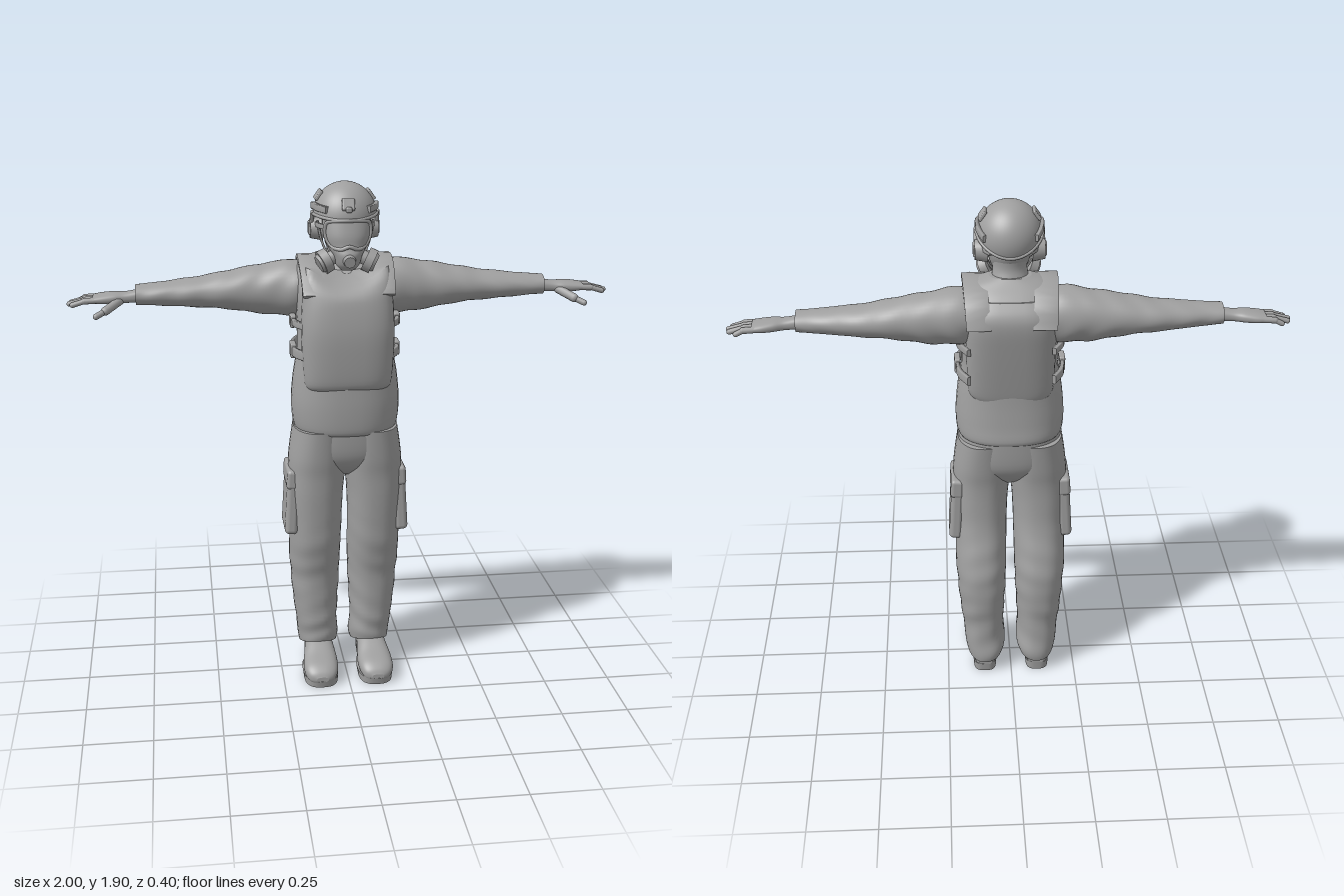
import * as THREE from 'three';
import { RoundedBoxGeometry } from 'three/addons/geometries/RoundedBoxGeometry.js';

const V = (x, y, z) => new THREE.Vector3(x, y, z);

// Closed smooth skin through rings of points, with flat end caps
function skin(rings) {
  const pos = [], idx = [], n = rings[0].length, m = rings.length;
  rings.forEach(r => r.forEach(p => pos.push(p.x, p.y, p.z)));
  for (let i = 0; i < m - 1; i++) for (let j = 0; j < n; j++) {
    const a = i * n + j, b = i * n + (j + 1) % n;
    idx.push(a, b, b + n, a, b + n, a + n);
  }
  [rings[0], rings[m - 1]].forEach((r, end) => {
    const base = pos.length / 3, c = V(0, 0, 0);
    r.forEach(p => { pos.push(p.x, p.y, p.z); c.addScaledVector(p, 1 / n); });
    pos.push(c.x, c.y, c.z);
    for (let j = 0; j < n; j++) {
      const a = base + j, b = base + (j + 1) % n;
      if (end) idx.push(a, b, base + n); else idx.push(b, a, base + n);
    }
  });
  const g = new THREE.BufferGeometry();
  g.setAttribute('position', new THREE.Float32BufferAttribute(pos, 3));
  g.setIndex(idx);
  g.computeVertexNormals();
  return g;
}

const spline = (a, b, c, d, t) =>
  b + 0.5 * t * (c - a + t * (2 * a - 5 * b + 4 * c - d + t * (3 * (b - c) + d - a)));

// Loft of rounded sections [t, aMin, aMax, bMin, bMax] along an axis.
// The (a, b) pair is (z, x) for axis y, (y, z) for axis x, (x, y) for axis z.
function loft(axis, secs, power = 2, rule = null, steps = 5, n = 40) {
  const rings = [], last = secs.length - 1;
  for (let k = 0; k <= last * steps; k++) {
    const i = Math.min(Math.floor(k / steps), last - 1), f = k / steps - i;
    const at = q => secs[Math.max(0, Math.min(last, q))];
    const [t, a0, a1, b0, b1] = secs[0].map((_, q) =>
      spline(at(i - 1)[q], at(i)[q], at(i + 1)[q], at(i + 2)[q], f));
    const ring = [];
    for (let j = 0; j < n; j++) {
      const u = j / n * Math.PI * 2, c = Math.cos(u), s = Math.sin(u);
      const w = 1 + (rule && rule.fold ? rule.fold(t, u) : 0);
      const a = (a0 + a1) / 2 + (a1 - a0) / 2 * w * Math.sign(c) * Math.abs(c) ** (2 / power);
      const b = (b0 + b1) / 2 + (b1 - b0) / 2 * w * Math.sign(s) * Math.abs(s) ** (2 / power);
      const p = axis === 'y' ? V(b, t, a) : axis === 'x' ? V(t, a, b) : V(a, b, t);
      if (rule && rule.move) rule.move(p);
      ring.push(p);
    }
    rings.push(ring);
  }
  return skin(rings);
}

// Flat band along a curve; its width lies along a fixed direction
function strap(pts, wide, width, thick) {
  const curve = new THREE.CatmullRomCurve3(pts), rings = [];
  for (let i = 0; i <= 16; i++) {
    const p = curve.getPoint(i / 16);
    const nrm = curve.getTangent(i / 16).cross(wide).normalize();
    rings.push([[1, 0.6], [0.8, 1], [-0.8, 1], [-1, 0.6], [-1, -1], [1, -1]].map(([a, b]) =>
      p.clone().addScaledVector(wide, a * width / 2).addScaledVector(nrm, b * thick / 2)));
  }
  return skin(rings);
}

function mirrored(geo) {
  const g = geo.index ? geo.toNonIndexed() : geo.clone();
  g.scale(-1, 1, 1);
  g.setIndex(Array.from({ length: g.attributes.position.count }, (_, i) =>
    i % 3 === 0 ? i : i % 3 === 1 ? i + 1 : i - 1));
  return g;
}

// Orient a y-aligned geometry along a direction at a place
const aim = (geo, at, dir) => geo
  .applyQuaternion(new THREE.Quaternion().setFromUnitVectors(V(0, 1, 0), dir.normalize()))
  .translate(at.x, at.y, at.z);
const rod = (p, q, r) => aim(new THREE.CapsuleGeometry(r, p.distanceTo(q), 6, 12),
  p.clone().add(q).multiplyScalar(0.5), q.clone().sub(p));
const box = (w, h, d, x, y, z, r = 0.006) =>
  new RoundedBoxGeometry(w, h, d, 3, r).translate(x, y, z);

export function createModel() {
  const model = new THREE.Group();
  const grey = new THREE.MeshStandardMaterial({ color: 0xa0a0a0, side: THREE.DoubleSide });
  grey.name = 'plain grey';
  const add = (name, geo) => {
    const m = new THREE.Mesh(geo, grey);
    m.name = name;
    model.add(m);
  };
  const pair = (name, geo) => { add(name + 'Left', geo); add(name + 'Right', mirrored(geo)); };

  // Jacket body
  add('jacket', loft('y', [
    [0.995, -0.13, 0.145, -0.17, 0.17], [1.015, -0.155, 0.16, -0.192, 0.192],
    [1.1, -0.15, 0.166, -0.2, 0.2], [1.2, -0.145, 0.165, -0.192, 0.192],
    [1.3, -0.148, 0.168, -0.176, 0.176], [1.4, -0.172, 0.165, -0.175, 0.175],
    [1.5, -0.187, 0.145, -0.18, 0.18], [1.56, -0.178, 0.1, -0.182, 0.182],
    [1.6, -0.145, 0.06, -0.172, 0.172], [1.63, -0.11, 0.035, -0.135, 0.135],
    [1.65, -0.088, 0.02, -0.075, 0.075]], 2.4,
    { move: p => { if (p.y < 1.08 && p.z < 0) p.y += 0.02 * (1.08 - p.y) / 0.08; } }));

  // Vest: front and back plates, shoulder bands, side straps with buckles
  add('vestFront', loft('y', [
    [1.17, 0, 0.155, -0.15, 0.15], [1.2, 0, 0.174, -0.16, 0.16], [1.3, 0, 0.185, -0.166, 0.166],
    [1.4, 0, 0.187, -0.168, 0.168], [1.5, 0, 0.172, -0.163, 0.163],
    [1.55, 0, 0.147, -0.16, 0.16], [1.58, 0, 0.115, -0.15, 0.15]], 3,
    { move: p => { if (p.y > 1.5) p.y += (p.y - 1.5) * (3 * Math.min(p.x ** 2, 0.02) * 10 - 0.2); } }));
  add('vestBack', loft('y', [
    [1.2, -0.14, 0, -0.14, 0.14], [1.24, -0.15, 0, -0.155, 0.155], [1.4, -0.182, 0, -0.16, 0.16],
    [1.5, -0.198, 0, -0.16, 0.16], [1.55, -0.19, 0, -0.155, 0.155],
    [1.59, -0.16, 0, -0.14, 0.14]], 3));
  pair('shoulderBand', strap([V(0.122, 1.52, 0.145), V(0.125, 1.58, 0.1), V(0.128, 1.625, 0.02),
    V(0.125, 1.625, -0.07), V(0.12, 1.58, -0.155), V(0.115, 1.5, -0.19)], V(1, 0, 0), 0.085, 0.02));
  [[1.405, 0.026], [1.295, 0.034]].forEach(([y, w], i) => {
    pair('sideStrap' + (i + 1), strap([V(0.15, y, 0.12), V(0.184, y, 0.06), V(0.19, y, -0.01),
      V(0.182, y, -0.09), V(0.15, y, -0.16)], V(0, 1, 0), w, 0.014));
    pair('buckle' + (i + 1), box(0.022, w + 0.02, 0.065, 0.19, y, 0));
  });

  // Sleeves with soft folds
  pair('sleeve', loft('x', [
    [0.08, 1.44, 1.59, -0.14, 0.02], [0.17, 1.41, 1.614, -0.165, 0.035],
    [0.25, 1.412, 1.606, -0.166, 0.02], [0.32, 1.42, 1.595, -0.164, 0.012],
    [0.42, 1.437, 1.577, -0.16, 0.008], [0.5, 1.445, 1.562, -0.155, 0],
    [0.6, 1.453, 1.55, -0.14, -0.004], [0.7, 1.461, 1.54, -0.125, -0.01],
    [0.752, 1.464, 1.537, -0.119, -0.013]], 2,
    { fold: (t, u) => 0.025 * Math.sin(t * 55 + 2 * Math.sin(u * 2 + 1)) * Math.sin(u + 4 * t) }));

  // Hands
  pair('palm', loft('x', [
    [0.73, 1.472, 1.522, -0.095, -0.035], [0.79, 1.472, 1.512, -0.097, -0.035],
    [0.83, 1.47, 1.512, -0.11, -0.028], [0.87, 1.47, 1.508, -0.118, -0.026],
    [0.905, 1.474, 1.502, -0.118, -0.028]], 2.4));
  [[-0.107, 0.96], [-0.084, 0.985], [-0.061, 0.99], [-0.039, 0.978]].forEach(([z, tip], i) => {
    const k = V(0.935, 1.486, z * 1.02);
    pair('fingerBase' + i, rod(V(0.89, 1.488, z), k, 0.0115));
    pair('fingerTip' + i, rod(k, V(tip, 1.473, z * 1.03), 0.0098));
  });
  pair('thumbBase', rod(V(0.81, 1.483, -0.045), V(0.86, 1.458, 0.003), 0.016));
  pair('thumbTip', rod(V(0.86, 1.458, 0.003), V(0.893, 1.443, 0.023), 0.011));

  // Trousers
  add('seat', loft('y', [
    [0.82, -0.06, 0.06, -0.08, 0.08], [0.86, -0.105, 0.11, -0.15, 0.15],
    [0.92, -0.138, 0.14, -0.2, 0.2], [1.03, -0.148, 0.15, -0.188, 0.188]], 2.3));
  pair('trouserLeg', loft('y', [
    [0.09, -0.158, 0.05, 0.03, 0.172], [0.13, -0.164, 0.055, 0.023, 0.18],
    [0.2, -0.155, 0.06, 0.028, 0.186], [0.3, -0.165, 0.065, 0.023, 0.198],
    [0.4, -0.17, 0.072, 0.018, 0.205], [0.47, -0.165, 0.087, 0.016, 0.21],
    [0.55, -0.148, 0.105, 0.014, 0.21], [0.65, -0.125, 0.115, 0.012, 0.21],
    [0.75, -0.12, 0.124, 0.008, 0.214], [0.83, -0.122, 0.13, 0, 0.214],
    [0.9, -0.132, 0.14, -0.003, 0.211], [1.01, -0.145, 0.15, -0.003, 0.195]], 2.3, {
    fold: (t, u) => 0.035 * Math.max(0, 1 - t / 0.75) * Math.sin(t * 62 + 2.5 * Math.sin(u + 0.6)) * Math.sin(u * 1 + 9 * t),
    move: p => { p.y += (p.z + 0.05) * 0.33 * Math.max(0, 1 - (p.y - 0.09) / 0.15); } }));
  pair('cargoPocket', box(0.05, 0.25, 0.17, 0, 0, 0, 0.018).rotateZ(0.06).translate(0.203, 0.715, -0.005));
  pair('pocketFlap', box(0.05, 0.075, 0.178, 0, 0, 0, 0.014).rotateZ(0.06).translate(0.2, 0.81, -0.005));

  // Boots
  pair('boot', loft('z', [
    [-0.145, 0.075, 0.13, 0.03, 0.08], [-0.125, 0.058, 0.148, 0.018, 0.13],
    [-0.03, 0.052, 0.155, 0.018, 0.15], [0.04, 0.045, 0.163, 0.018, 0.13],
    [0.1, 0.04, 0.172, 0.012, 0.102], [0.155, 0.045, 0.17, 0.012, 0.085],
    [0.185, 0.06, 0.155, 0.014, 0.065], [0.198, 0.085, 0.13, 0.025, 0.045]], 2.5));
  pair('heel', loft('y', [[0, -0.142, -0.025, 0.06, 0.147], [0.035, -0.146, -0.015, 0.057, 0.15]], 3));
  pair('sole', loft('y', [[0, 0.015, 0.192, 0.042, 0.17], [0.028, -0.03, 0.199, 0.038, 0.174]], 2.6));

  // Neck and head
  add('neck', loft('y', [
    [1.56, -0.1, 0.05, -0.085, 0.085], [1.63, -0.088, 0.03, -0.068, 0.068],
    [1.68, -0.075, 0.04, -0.06, 0.06], [1.74, -0.085, 0.05, -0.065, 0.065]]));
  add('head', loft('y', [
    [1.625, 0.02, 0.09, -0.035, 0.035], [1.66, -0.04, 0.11, -0.062, 0.062],
    [1.72, -0.085, 0.115, -0.078, 0.078], [1.82, -0.095, 0.11, -0.085, 0.085]]));

  // Helmet shell: rim drops behind and rises over the ears
  const rim = u => Math.PI / 2 * (1 + 0.28 * Math.max(0, -Math.cos(u)) ** 1.5 - 0.06 * Math.sin(u) ** 2);
  const shell = (u, f, k = 1) => {
    const th = rim(u) * f, s = Math.sin(th) * k;
    return V(0.116 * s * Math.sin(u), 1.783 + 0.122 * Math.cos(th), 0.006 + 0.121 * s * Math.cos(u));
  };
  const around = Array.from({ length: 48 }, (_, j) => j / 48 * Math.PI * 2);
  add('helmet', skin(Array.from({ length: 21 }, (_, i) => around.map(u => shell(u, 1 - i / 20.2)))));
  add('helmetRim', new THREE.TubeGeometry(
    new THREE.CatmullRomCurve3(around.map(u => shell(u, 1)), true), 96, 0.006, 8, true));
  add('helmetMount', box(0.045, 0.045, 0.02, 0, 0, 0).rotateX(-0.45).translate(0, 1.838, 0.114));
  add('mountHook', box(0.022, 0.02, 0.025, 0, 1.822, 0.128));
  pair('helmetRail', strap([0.7, 1.1, 1.5, 1.9, 2.3].map(u => shell(u, 0.84, 1.03)), V(0, 1, 0), 0.024, 0.014));
  pair('helmetPatch', box(0.012, 0.04, 0.06, 0, 0, 0, 0.004).rotateZ(0.62).translate(0.094, 1.858, 0));

  // Ear cups and chin straps
  pair('earCup', aim(new THREE.CylinderGeometry(0.035, 0.044, 0.045, 28), V(0.1, 1.735, -0.02), V(1, 0, 0)));
  pair('earCupCap', box(0.018, 0.05, 0.035, 0.12, 1.738, -0.02));
  pair('earCupArm', rod(V(0.118, 1.745, -0.01), V(0.117, 1.8, 0.02), 0.007));
  pair('chinStrap', strap([V(0.1, 1.77, 0.03), V(0.086, 1.7, 0.03), V(0.06, 1.645, 0.045),
    V(0.02, 1.615, 0.07)], V(0, 0, 1), 0.018, 0.008));
  pair('maskStrap', strap([V(0.08, 1.755, 0.08), V(0.1, 1.755, 0.03), V(0.1, 1.75, -0.04),
    V(0.07, 1.745, -0.085)], V(0, 1, 0), 0.018, 0.008));

  // Breathing mask with lens, valve and two filters
  add('mask', loft('y', [
    [1.605, 0.06, 0.115, -0.025, 0.025], [1.625, 0.03, 0.142, -0.042, 0.042],
    [1.66, 0.02, 0.152, -0.053, 0.053], [1.69, 0, 0.142, -0.072, 0.072],
    [1.73, 0, 0.139, -0.084, 0.084], [1.785, 0, 0.126, -0.086, 0.086]], 2.2));
  const frame = [[0, 1.695, 0.146], [0.03, 1.685, 0.139], [0.062, 1.695, 0.108], [0.08, 1.73, 0.096],
    [0.076, 1.773, 0.1], [0.04, 1.782, 0.12]];
  const frameLoop = [...frame, [0, 1.784, 0.13], ...frame.slice(1).reverse().map(([x, y, z]) => [-x, y, z])];
  add('lensFrame', new THREE.TubeGeometry(
    new THREE.CatmullRomCurve3(frameLoop.map(p => V(...p)), true), 64, 0.007, 8, true));
  add('valve', aim(new THREE.CylinderGeometry(0.02, 0.025, 0.03, 24), V(0, 1.645, 0.148), V(0, -0.2, 1)));
  const out = () => V(0.85, -0.4, 0.2);
  pair('filterNeck', aim(new THREE.CylinderGeometry(0.025, 0.025, 0.04, 20), V(0.05, 1.65, 0.085), out()));
  pair('filter', aim(new THREE.CylinderGeometry(0.043, 0.043, 0.03, 28), V(0.08, 1.635, 0.085), out()));
  pair('filterCap', aim(new THREE.CylinderGeometry(0.03, 0.036, 0.012, 28), V(0.097, 1.627, 0.089), out()));

  return model;
}
